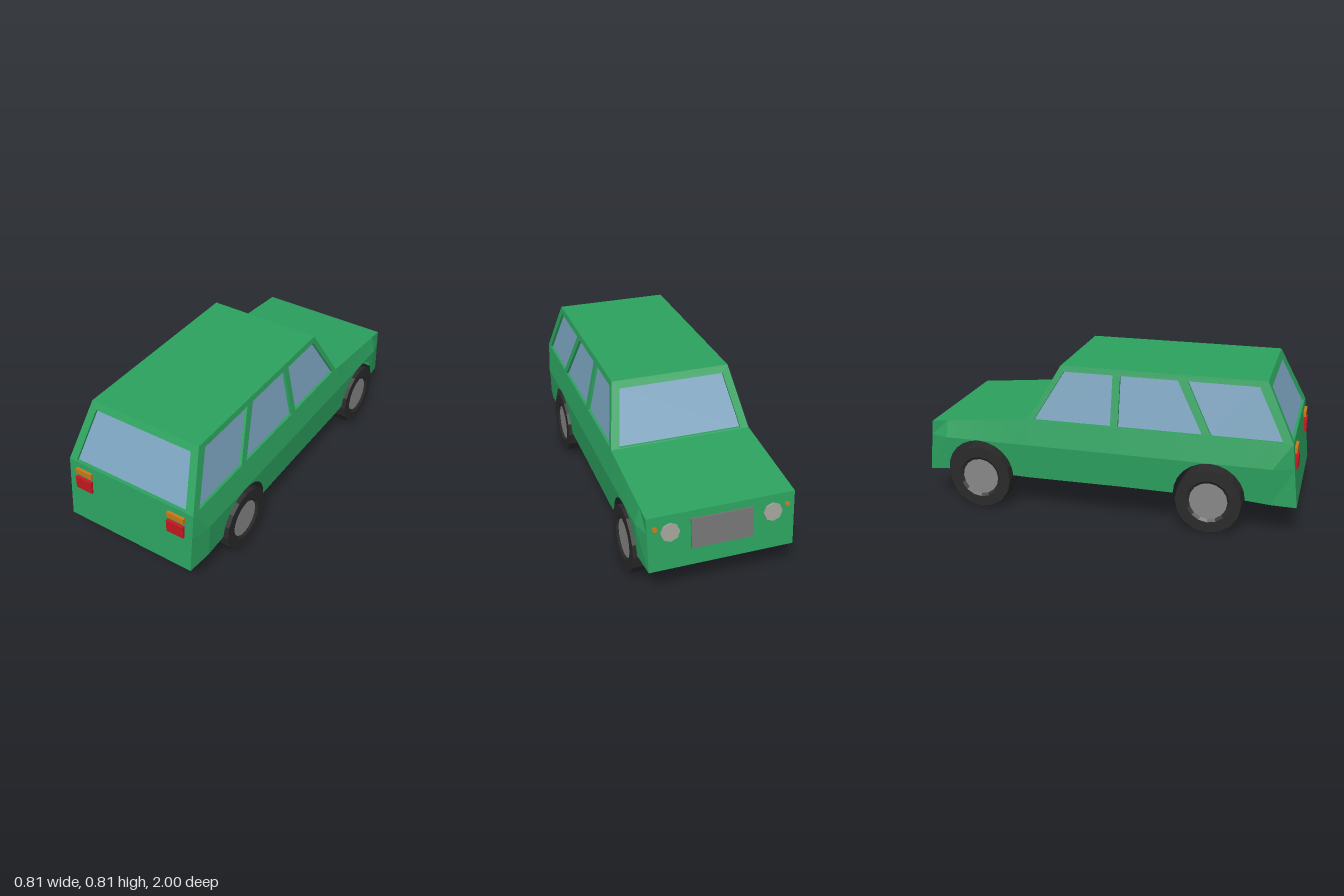
import * as THREE from 'three';

const paint = (color) => new THREE.MeshStandardMaterial({ color, flatShading: true, side: THREE.DoubleSide });
const GREEN = paint(0x2ca25f), GLASS = paint(0x7ba3be), TYRE = paint(0x2a2a2a), HUB = paint(0x888888);
const RED = paint(0xc4191e), AMBER = paint(0xc87a1a), GRILLE = paint(0x757575), LAMP = paint(0xa3a59c);

const SILL = 0.515, ROOF = 0.81, R = 0.172;
const lerp = THREE.MathUtils.lerp;
const rise = (y) => (y - SILL) / (ROOF - SILL);
const sideX = (y) => lerp(0.375, 0.315, rise(y));
const rearZ = (y) => lerp(0.965, 0.82, rise(y));
const screenZ = (y) => lerp(-0.42, -0.25, rise(y));
const noseZ = (y) => lerp(-1, -0.97, (y - 0.175) / 0.285);
const tailZ = (y) => lerp(1, 0.965, (y - 0.175) / 0.34);

function add(parent, name, geometry, material) {
  const mesh = new THREE.Mesh(geometry, material);
  mesh.name = name;
  parent.add(mesh);
  return mesh;
}

// Surface through rows of equally many points
function skin(rows) {
  const n = rows[0].length, index = [];
  for (let i = 0; i < rows.length - 1; i++) {
    for (let j = 0; j < n - 1; j++) {
      const a = i * n + j, b = a + n;
      index.push(a, b, a + 1, a + 1, b, b + 1);
    }
  }
  const g = new THREE.BufferGeometry();
  g.setAttribute('position', new THREE.Float32BufferAttribute(rows.flat(2), 3));
  g.setIndex(index);
  g.computeVertexNormals();
  return g;
}

// Flat shape moved into place by a rule (u, v, w) -> [x, y, z]
function place(geometry, rule) {
  const p = geometry.attributes.position;
  for (let i = 0; i < p.count; i++) p.setXYZ(i, ...rule(p.getX(i), p.getY(i), p.getZ(i)));
  geometry.computeVertexNormals();
  return geometry;
}

const polygon = (pts) => new THREE.Shape(pts.map(([u, v]) => new THREE.Vector2(u, v)));

// Window frame with thickness, and a pane set into each opening
function glazed(parent, name, outline, openings, rule) {
  const frame = polygon(outline);
  frame.holes = openings.map(polygon);
  add(parent, name + 'Frame', place(new THREE.ExtrudeGeometry(frame, { depth: 0.02, bevelEnabled: false }), rule), GREEN);
  openings.forEach((o, i) => {
    const pane = place(new THREE.ShapeGeometry(polygon(o)), (u, v) => rule(u, v, 0.014));
    add(parent, name + 'Glass' + (i + 1), pane, GLASS);
  });
}

// Lower side panel: columns from the arched lower edge up to the sill
function sidePanel() {
  const arch = (cz) => Array.from({ length: 13 }, (_, i) => {
    const a = (i / 12) * Math.PI;
    return [cz + 0.186 * Math.cos(a), 0.195 + 0.186 * Math.sin(a)];
  });
  const lower = [[1, 0.175], [0.87, 0.185], ...arch(0.555), [0.09, 0.197], [-0.42, 0.193],
    ...arch(-0.695), [-1, 0.175]];
  return skin(lower.map(([z, y]) => {
    const end = Math.abs(z) === 1;
    const top = z < -0.42 ? lerp(SILL, 0.46, Math.min(1, (-0.42 - z) / 0.55)) : SILL;
    const zAt = (h) => (!end ? z : z > 0 ? tailZ(h) : noseZ(h));
    const belt = end ? 0.373 : 0.4;
    const bottom = end ? 0.37 : lerp(0.387, belt, (y - 0.175) / 0.207);
    return [[bottom, y, z], [belt, 0.382, zAt(0.382)], [0.375, top, zAt(top)]];
  }));
}

function wheel() {
  const g = new THREE.Group();
  // Tread and inner wall, open at the bottom
  const profile = [[0.001, 0.27], [R, 0.27], [R, 0.405]].map(([r, h]) => new THREE.Vector2(r, h));
  const tread = new THREE.LatheGeometry(profile, 12, Math.PI * 0.75, Math.PI * 1.5);
  add(g, 'tyreTread', tread.rotateZ(-Math.PI / 2), TYRE);
  const wall = new THREE.LatheGeometry([[R, 0.405], [0.115, 0.405], [0.1, 0.395]]
    .map(([r, h]) => new THREE.Vector2(r, h)), 16);
  add(g, 'tyreWall', wall.rotateZ(-Math.PI / 2), TYRE);
  add(g, 'hub', new THREE.CircleGeometry(0.1, 16).rotateY(Math.PI / 2).translate(0.395, 0, 0), HUB);
  return g;
}

export function createModel() {
  const car = new THREE.Group();
  car.name = 'estateCar';

  // Bonnet, nose, tailgate and roof span the full width
  const across = (pts) => skin(pts.map(([x, y, z]) => [[-x, y, z], [x, y, z]]));
  add(car, 'bonnet', across([[0.375, SILL, -0.42], [0.375, 0.46, -0.97]]), GREEN);
  add(car, 'nose', across([[0.375, 0.46, -0.97], [0.373, 0.382, noseZ(0.382)], [0.37, 0.175, -1]]), GREEN);
  add(car, 'tailgate', across([[0.375, SILL, 0.965], [0.373, 0.382, tailZ(0.382)], [0.37, 0.175, 1]]), GREEN);
  add(car, 'roof', across([[0.315, ROOF, -0.25], [0.315, ROOF, 0.82]]), GREEN);

  // Rear window and windscreen share one outline
  const outline = [[-0.375, SILL], [0.375, SILL], [0.315, ROOF], [-0.315, ROOF]];
  const opening = [[-0.33, 0.519], [0.33, 0.519], [0.28, 0.775], [-0.28, 0.775]];
  glazed(car, 'rearWindow', outline, [opening], (u, v, w) => [u, v, rearZ(v) - w]);
  glazed(car, 'windscreen', outline, [opening], (u, v, w) => [u, v, screenZ(v) + w]);

  // Everything that is mirrored left and right
  for (const s of [1, -1]) {
    const half = new THREE.Group();
    half.name = s > 0 ? 'leftSide' : 'rightSide';
    half.scale.x = s;
    car.add(half);

    add(half, 'sidePanel', sidePanel(), GREEN);
    glazed(half, 'sideWindow', [[0.965, SILL], [-0.42, SILL], [-0.25, ROOF], [0.82, ROOF]], [
      [[0.915, 0.519], [0.555, 0.519], [0.42, 0.78], [0.78, 0.78]],
      [[0.51, 0.519], [0.07, 0.519], [0.07, 0.78], [0.37, 0.78]],
      [[0.03, 0.519], [-0.385, 0.519], [-0.23, 0.78], [0.03, 0.78]],
    ], (u, v, w) => [sideX(v) - w, v, u]);

    for (const [name, z] of [['rearWheel', 0.555], ['frontWheel', -0.695]]) {
      const w = wheel();
      w.name = name;
      w.position.set(0, R, z);
      half.add(w);
    }

    // Tail lamps
    for (const [name, y, h, m] of [['rearIndicator', 0.468, 0.031, AMBER], ['brakeLamp', 0.4, 0.07, RED]]) {
      add(half, name, new THREE.BoxGeometry(0.098, h, 0.02), m).position.set(0.279, y, tailZ(y) + 0.003);
    }

    // Headlamp and front indicator
    for (const [name, x, y, r, m] of [['headlamp', 0.26, 0.372, 0.048, LAMP], ['frontIndicator', 0.335, 0.4, 0.013, AMBER]]) {
      const lamp = new THREE.CylinderGeometry(r, r, 0.012, 8).rotateX(Math.PI / 2 + 0.1);
      add(half, name, lamp, m).position.set(x, y, noseZ(y) - 0.003);
    }
  }

  // Grille
  const grille = add(car, 'grille', new THREE.BoxGeometry(0.314, 0.155, 0.014), GRILLE);
  grille.position.set(0, 0.343, noseZ(0.343) - 0.003);
  grille.rotation.x = 0.1;
  return car;
}
